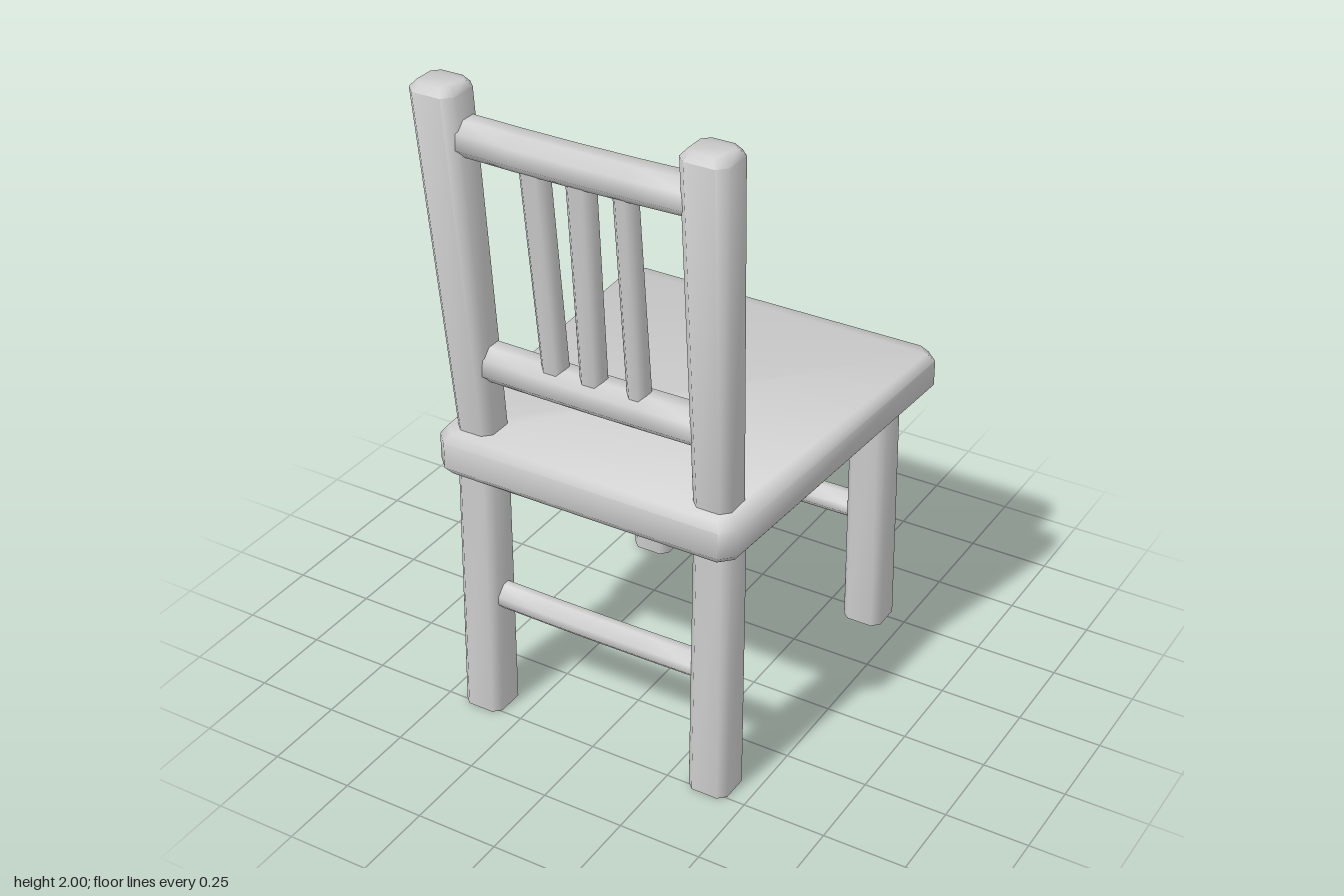
import * as THREE from 'three';
import { toCreasedNormals } from 'three/addons/utils/BufferGeometryUtils.js';

// Rectangle with cut corners at height y; taper narrows it towards +z
function ring(y, cx, cz, w, d, cut, taper = 0) {
  const a = w / 2, b = d / 2;
  return [
    [a, -b + cut], [a, b - cut], [a - cut, b], [-a + cut, b],
    [-a, b - cut], [-a, -b + cut], [-a + cut, -b], [a - cut, -b],
  ].map(([x, z]) => [cx + x * (1 - taper * z), y, cz + z]);
}

// Skin the rings from bottom to top and close both ends
function loft(rings) {
  const n = rings[0].length, last = (rings.length - 1) * n, index = [];
  for (let r = 0; r < rings.length - 1; r++) {
    for (let i = 0; i < n; i++) {
      const a = r * n + i, b = r * n + (i + 1) % n;
      index.push(a, a + n, b, b, a + n, b + n);
    }
  }
  for (let i = 1; i < n - 1; i++) {
    index.push(0, i, i + 1, last, last + i + 1, last + i);
  }
  const g = new THREE.BufferGeometry();
  g.setAttribute('position', new THREE.Float32BufferAttribute(rings.flat(2), 3));
  g.setIndex(index);
  return toCreasedNormals(g, THREE.MathUtils.degToRad(58));
}

// Crosswise bar, sagging slightly in the middle
function crossBar(y, z, height, depth, halfLength, sag) {
  const rings = [-1, -0.5, 0, 0.5, 1].map((t) =>
    ring(t * halfLength, sag * (1 - t * t), 0, height, depth, 0.028));
  return loft(rings).rotateZ(-Math.PI / 2).translate(0, y, z);
}

export function createModel() {
  const chair = new THREE.Group();
  chair.name = 'chair';
  const wood = new THREE.MeshStandardMaterial({ color: 0xcccccc });
  wood.name = 'pale grey';
  const add = (name, geometry) => {
    const mesh = new THREE.Mesh(geometry, wood);
    mesh.name = name;
    chair.add(mesh);
  };

  // Seat board, narrower at the backrest, with bevelled edges
  add('seat', loft([
    ring(0.81, 0, -0.02, 0.965, 1.1, 0.035, 0.103),
    ring(0.835, 0, -0.02, 1.005, 1.14, 0.04, 0.103),
    ring(0.915, 0, -0.02, 1.005, 1.14, 0.04, 0.103),
    ring(0.94, 0, -0.02, 0.965, 1.1, 0.035, 0.103),
  ]));

  for (const [side, s] of [['left', 1], ['right', -1]]) {
    // Legs
    add(side + 'BackLeg', loft([
      ring(0, s * 0.38, 0.453, 0.125, 0.126, 0.022),
      ring(0.86, s * 0.38, 0.44, 0.12, 0.118, 0.022),
    ]));
    add(side + 'FrontLeg', loft([
      ring(0, s * 0.38, -0.492, 0.125, 0.126, 0.022),
      ring(0.86, s * 0.38, -0.472, 0.12, 0.122, 0.022),
    ]));
    // Leaning backrest posts, thicker towards the top
    add(side + 'Post', loft([
      ring(0.88, s * 0.376, 0.437, 0.115, 0.118, 0.024),
      ring(1.98, s * 0.399, 0.524, 0.14, 0.134, 0.026),
      ring(2.0, s * 0.399, 0.524, 0.105, 0.1, 0.02),
    ]));
  }

  // Backrest rails and leg stretchers
  add('topRail', crossBar(1.854, 0.511, 0.104, 0.102, 0.35, 0.005));
  add('lowerRail', crossBar(1.161, 0.452, 0.108, 0.1, 0.35, 0.003));
  add('backStretcher', crossBar(0.387, 0.447, 0.083, 0.08, 0.33, 0.003));
  add('frontStretcher', crossBar(0.387, -0.482, 0.083, 0.08, 0.33, 0.003));

  // Uneven spindles: bottom x, top x, bottom width, top width
  const spindles = [[-0.117, -0.132, 0.07, 0.078], [0.003, 0.009, 0.07, 0.076], [0.144, 0.14, 0.06, 0.06]];
  for (const [x0, x1, w0, w1] of spindles) {
    add('spindle', loft([
      ring(1.17, x0, 0.455, w0, 0.062, 0.016),
      ring(1.84, x1, 0.51, w1, 0.062, 0.016),
    ]));
  }
  return chair;
}
